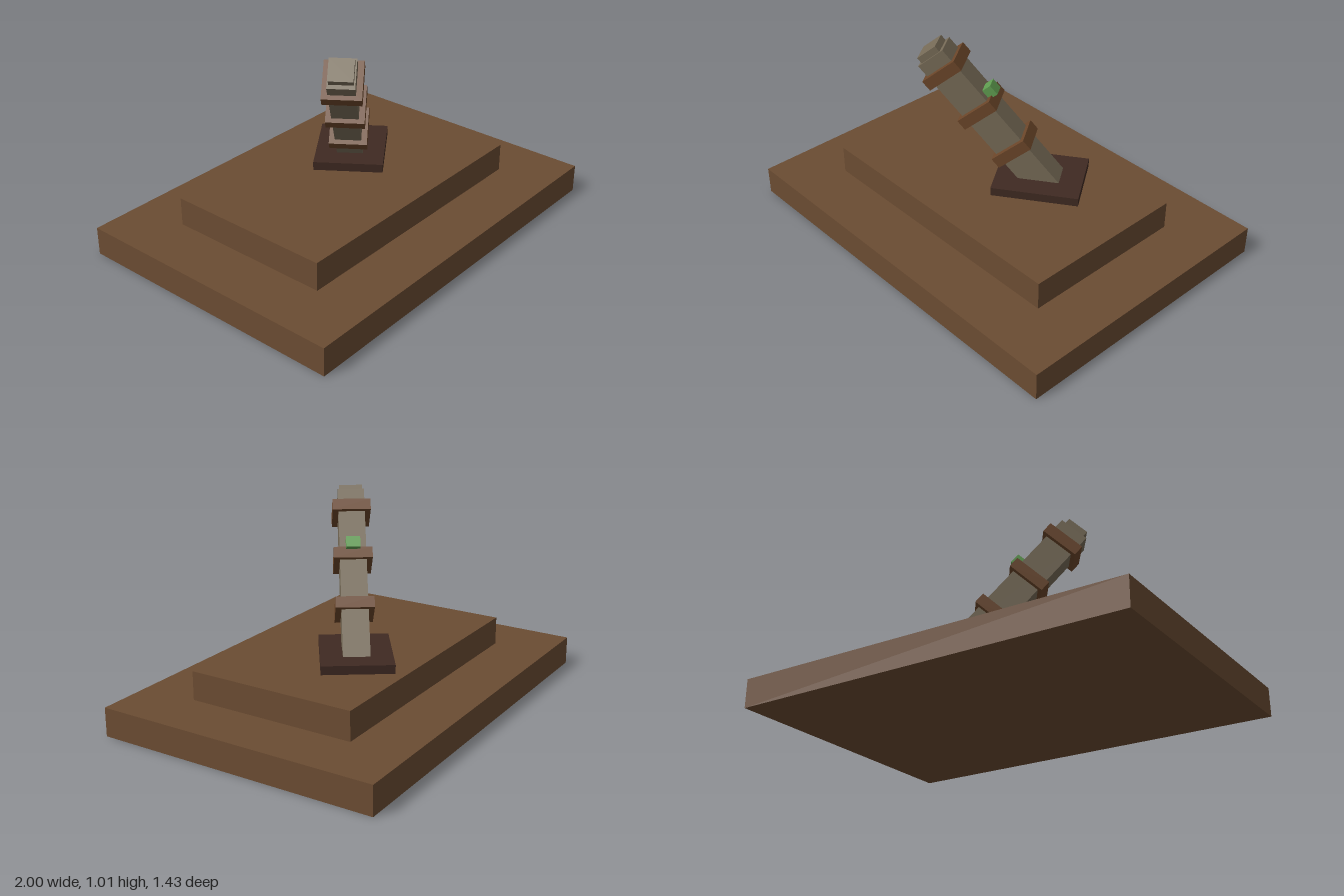
import * as THREE from 'three';

const material = (name, color) => {
  const m = new THREE.MeshStandardMaterial({ color });
  m.name = name;
  return m;
};

export function createModel() {
  const wood = material('brown', 0x6b4c32);
  const band = material('bandBrown', 0x6b4629);
  const dark = material('darkBrown', 0x3f2a22);
  const stone = material('stoneGrey', 0x776b57);
  const green = material('gemGreen', 0x5f9e50);

  const model = new THREE.Group();
  model.name = 'leaningHiltOnPedestal';

  // Box of size w, h, d centred at x, y, z in its parent
  const box = (parent, name, mat, w, h, d, x, y, z) => {
    const mesh = new THREE.Mesh(new THREE.BoxGeometry(w, h, d), mat);
    mesh.name = name;
    mesh.position.set(x, y, z);
    parent.add(mesh);
    return mesh;
  };

  // Two-step pedestal
  box(model, 'lowerStep', wood, 2, 0.143, 1.43, 0, 0.0715, 0);
  box(model, 'upperStep', wood, 1.43, 0.143, 0.857, 0, 0.2145, 0);

  // Everything on the pedestal is turned diagonally
  const turned = new THREE.Group();
  turned.name = 'turnedAssembly';
  turned.position.set(0.171, 0.286, -0.116);
  turned.rotation.y = THREE.MathUtils.degToRad(35);
  model.add(turned);
  box(turned, 'socketPlate', dark, 0.428, 0.043, 0.343, 0, 0.0215, 0);

  // Leaning shaft, with local y along its axis
  const hilt = new THREE.Group();
  hilt.name = 'hilt';
  hilt.position.y = 0.043;
  hilt.rotation.z = THREE.MathUtils.degToRad(40);
  turned.add(hilt);
  box(hilt, 'shaft', stone, 0.155, 0.89, 0.129, 0, 0.365, 0);
  box(hilt, 'tipCap', stone, 0.114, 0.06, 0.114, 0, 0.813, 0);

  // Evenly spaced wrapping bands
  for (let i = 0; i < 3; i++) {
    box(hilt, 'band' + (i + 1), band, 0.2, 0.057, 0.186, 0, 0.202 + i * 0.257, 0);
  }

  // Gem on the upper face
  box(hilt, 'gem', green, 0.055, 0.055, 0.068, 0.1, 0.503, 0);

  return model;
}
